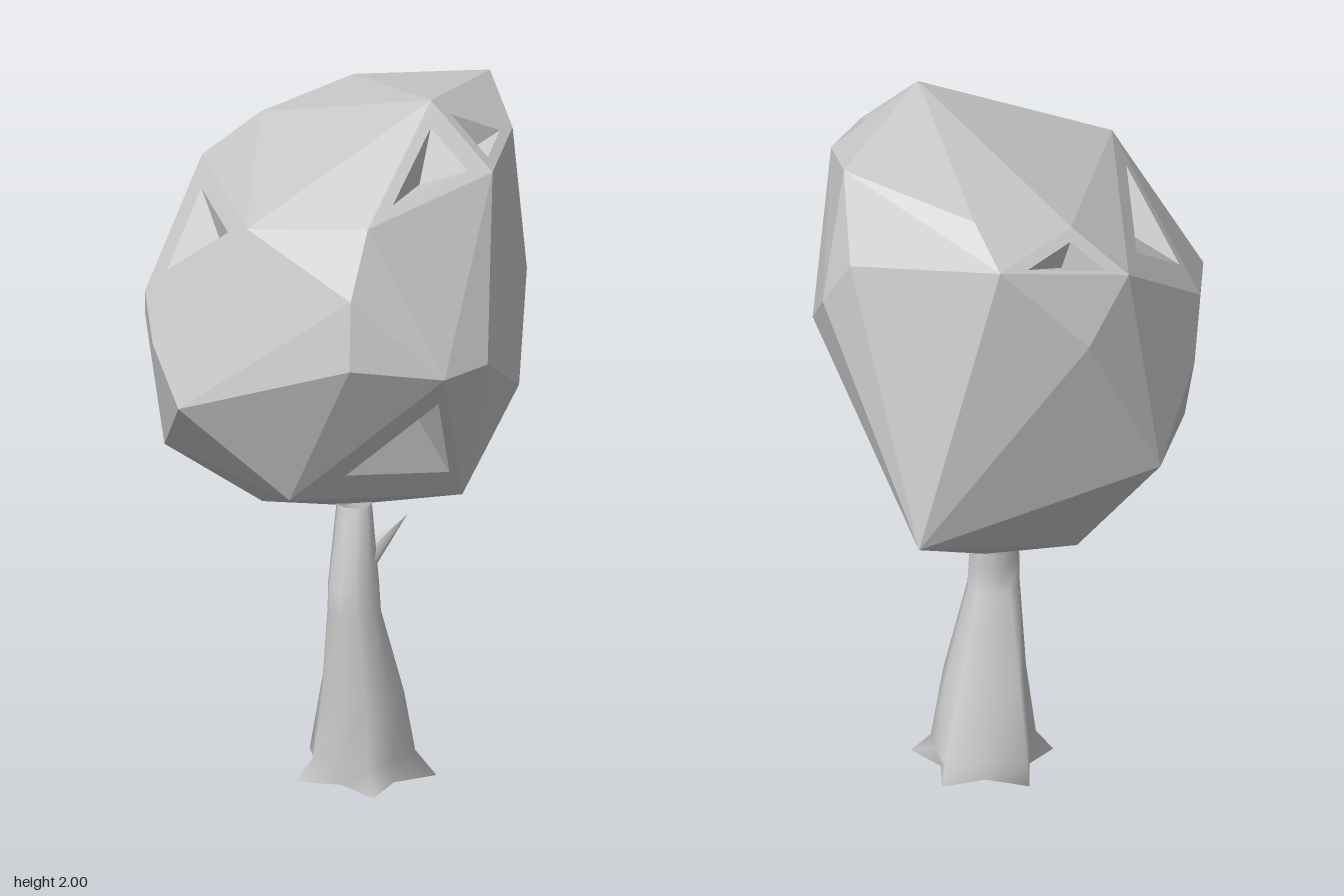
import * as THREE from 'three';
import { ConvexGeometry } from 'three/addons/geometries/ConvexGeometry.js';

const v = (x, y, z) => new THREE.Vector3(x, y, z);

// Faceted crown: a hull of corner points, with small pits pressed into some faces
function crownGeometry() {
  const corners = [
    // top
    [0.23, 2.0, -0.1], [0.1, 1.92, -0.51], [-0.27, 1.85, -0.38], [-0.39, 1.79, -0.13],
    [0.02, 1.74, 0.43], [0.32, 1.77, 0.28], [0.31, 1.86, -0.35], [0.42, 1.83, -0.13],
    // front
    [0.35, 1.6, 0.39], [0.37, 1.41, 0.42], [-0.08, 1.24, 0.6], [-0.21, 1.38, 0.55],
    [-0.4, 1.42, 0.35], [-0.49, 1.29, 0.24], [-0.3, 1.01, 0.39], [0.12, 0.95, 0.37],
    // sides
    [0.55, 1.36, 0.05], [0.53, 1.36, 0.21], [0.48, 1.21, -0.17], [0.38, 0.9, -0.05],
    [-0.55, 1.06, 0.05], [-0.52, 1.66, -0.04], [-0.53, 1.5, -0.2],
    // back
    [0.27, 1.4, -0.46], [0.09, 1.56, -0.6], [-0.01, 1.7, -0.595], [-0.4, 1.75, -0.41],
    [-0.28, 0.94, -0.6],
    // underside
    [-0.26, 0.73, 0.02], [-0.07, 0.73, -0.1], [-0.18, 0.77, -0.25],
  ].map((p) => v(...p));
  const pits = [
    [-0.27, 1.63, 0.35], [0.33, 1.87, 0.02], [0.33, 1.9, -0.2], [0.46, 1.11, 0.15], [-0.46, 1.73, -0.2],
  ];

  const centre = v(0, 1.4, 0);
  const rays = pits.map((p) => new THREE.Ray(centre, v(...p).sub(centre).normalize()));
  const hull = new ConvexGeometry(corners).getAttribute('position');
  const points = [];
  const hit = v(0, 0, 0);
  for (let i = 0; i < hull.count; i += 3) {
    const t = [0, 1, 2].map((k) => v(0, 0, 0).fromBufferAttribute(hull, i + k));
    const ray = rays.find((r) => r.intersectTriangle(t[0], t[1], t[2], false, hit));
    if (!ray) { points.push(...t); continue; }
    const rim = t.map((p) => p.clone().lerp(hit, 0.4));
    const floor = hit.clone().addScaledVector(ray.direction, -0.07);
    for (let k = 0; k < 3; k++) {
      const n = (k + 1) % 3;
      points.push(t[k], t[n], rim[n], t[k], rim[n], rim[k], rim[k], rim[n], floor);
    }
  }
  const geo = new THREE.BufferGeometry().setFromPoints(points);
  geo.computeVertexNormals();
  return geo;
}

// Bent hollow trunk from ten-sided rings, flaring into five root tips at the ground
function trunkGeometry() {
  // height, centre x, centre z, radius x, radius z, root flare
  const rings = [
    [0, 0.035, -0.045, 0.164, 0.16, 0.25],
    [0.06, 0.035, -0.045, 0.134, 0.147, 0.06],
    [0.25, 0.052, -0.022, 0.11, 0.118, 0.03],
    [0.5, 0.06, 0.02, 0.072, 0.076, 0],
    [0.58, 0.058, 0.02, 0.068, 0.074, 0],
    [0.8, 0.04, -0.005, 0.05, 0.045, 0],
  ];
  const sides = 10, bend = 3;
  const at = ([y, cx, cz, rx, rz, flare], i) => {
    const a = 0.75 + (i / sides) * Math.PI * 2;
    const f = i % 2 ? 1 - flare : 1 + flare;
    return v(cx + Math.cos(a) * rx * f, y, cz + Math.sin(a) * rz * f);
  };
  const points = [], index = [];
  rings.forEach((ring, j) => {
    for (let i = 0; i < sides; i++) {
      // the left and rear roots run straight from the ground up to the bend
      const straight = (i === 4 || i === 6) && j < bend;
      points.push(straight
        ? at(rings[0], i).lerp(at(rings[bend], i), ring[0] / rings[bend][0])
        : at(ring, i));
      if (j === rings.length - 1) continue;
      const p = j * sides + i, q = j * sides + ((i + 1) % sides);
      index.push(p, p + sides, q, q, p + sides, q + sides);
    }
  });
  const geo = new THREE.BufferGeometry().setFromPoints(points);
  geo.setIndex(index);
  geo.computeVertexNormals();
  return geo;
}

export function createModel() {
  const model = new THREE.Group();
  model.name = 'tree';
  const grey = new THREE.MeshStandardMaterial({ color: 0xcccccc, side: THREE.DoubleSide });
  grey.name = 'light grey';

  const add = (name, geo) => {
    const mesh = new THREE.Mesh(geo, grey);
    mesh.name = name;
    model.add(mesh);
    return mesh;
  };

  add('crown', crownGeometry());
  add('trunk', trunkGeometry());

  // Short pointed branch stub below the crown
  const from = v(0.075, 0.63, 0), to = v(0.13, 0.75, -0.12);
  const stub = add('branchStub', new THREE.ConeGeometry(0.035, from.distanceTo(to), 5));
  stub.position.copy(from).lerp(to, 0.5);
  stub.quaternion.setFromUnitVectors(v(0, 1, 0), to.clone().sub(from).normalize());

  return model;
}
